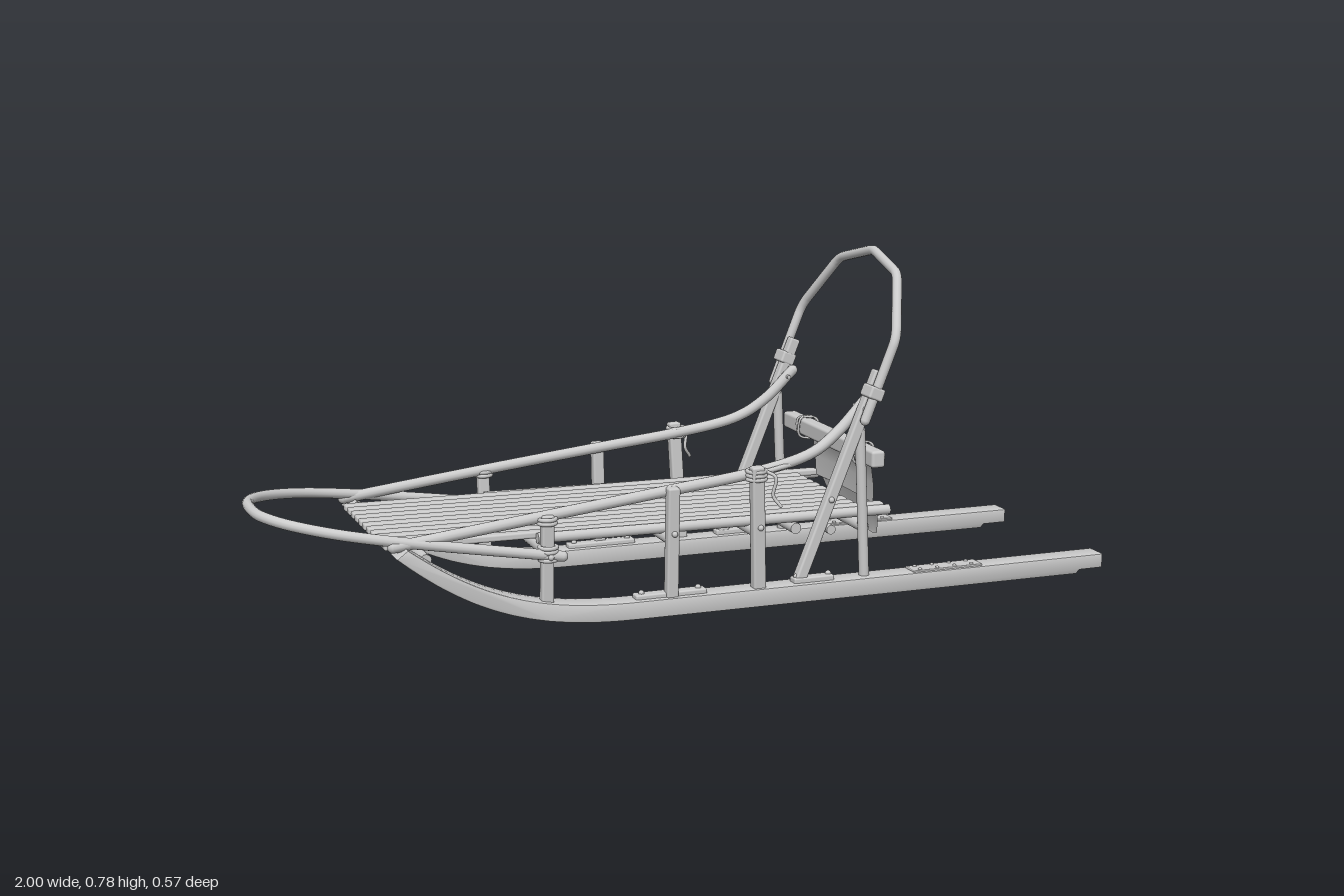
import * as THREE from 'three';
import { toCreasedNormals } from 'three/addons/utils/BufferGeometryUtils.js';
import { RoundedBoxGeometry } from 'three/addons/geometries/RoundedBoxGeometry.js';

const grey = new THREE.MeshStandardMaterial({ color: 0xcccccc });
const greyDouble = new THREE.MeshStandardMaterial({ color: 0xcccccc, side: THREE.DoubleSide });
const V = (x, y, z) => new THREE.Vector3(x, y, z);
const UP = V(0, 1, 0);

export function createModel() {
  const sled = new THREE.Group();
  sled.name = 'sled';

  const add = (name, geometry, material = grey) => {
    const mesh = new THREE.Mesh(geometry, material);
    mesh.name = name;
    sled.add(mesh);
    return mesh;
  };
  // Places a y-aligned geometry between two points
  const span = (mesh, a, b) => {
    mesh.position.copy(a).lerp(b, 0.5);
    mesh.quaternion.setFromUnitVectors(UP, b.clone().sub(a).normalize());
    return mesh;
  };
  const rod = (name, a, b, r, rTop = r) =>
    span(add(name, new THREE.CylinderGeometry(rTop, r, a.distanceTo(b), 16)), a, b);
  const beam = (name, a, b, w, d) =>
    span(add(name, new RoundedBoxGeometry(w, a.distanceTo(b), d, 2, 0.005)), a, b);
  const box = (name, w, h, d, x, y, z, r = 0.004) => {
    const m = add(name, new RoundedBoxGeometry(w, h, d, 2, r));
    m.position.set(x, y, z);
    return m;
  };
  const ball = (name, x, y, z, r) =>
    add(name, new THREE.SphereGeometry(r, 10, 8)).position.set(x, y, z);
  // Round bent bar with closed ends
  const bar = (name, pts, r, tension = 0.5, n = 80) => {
    const curve = new THREE.CatmullRomCurve3(pts, false, 'catmullrom', tension);
    add(name, new THREE.TubeGeometry(curve, n, r, 12, false));
    for (const p of [pts[0], pts[pts.length - 1]]) ball(name + 'End', p.x, p.y, p.z, r);
  };
  // Several turns of cord around a post
  const wrap = (name, x, y, z, r, turns = 3, dir = UP) => {
    for (let i = 0; i < turns; i++) {
      const m = add(name, new THREE.TorusGeometry(r, 0.005, 8, 20));
      m.position.set(x, y, z).addScaledVector(dir, (i - (turns - 1) / 2) * 0.009);
      m.quaternion.setFromUnitVectors(V(0, 0, 1), dir);
    }
  };

  // Runner side profile, upswept at the nose
  const runnerShape = new THREE.Shape();
  runnerShape.moveTo(1, 0.012);
  runnerShape.lineTo(0.94, 0.012);
  runnerShape.lineTo(0.93, 0.003);
  runnerShape.lineTo(-0.18, 0.01);
  runnerShape.bezierCurveTo(-0.42, 0.01, -0.56, 0.06, -0.725, 0.197);
  runnerShape.lineTo(-0.705, 0.212);
  runnerShape.bezierCurveTo(-0.55, 0.095, -0.42, 0.045, -0.18, 0.045);
  runnerShape.lineTo(1, 0.04);
  const runnerGeometry = toCreasedNormals(new THREE.ExtrudeGeometry(runnerShape, {
    depth: 0.052, bevelEnabled: true, bevelSize: 0.003, bevelThickness: 0.004,
    bevelSegments: 2, curveSegments: 24,
  }).translate(0, 0, -0.026), 0.6);

  for (const s of [-1, 1]) {
    add('runner', runnerGeometry).position.z = s * 0.236;

    // Foot pad with screws
    box('footPad', 0.18, 0.008, 0.045, 0.59, 0.045, s * 0.236, 0.002);
    for (let i = 0; i < 4; i++)
      for (const dz of [-0.014, 0.014])
        ball('footPadScrew', 0.52 + i * 0.045, 0.048, s * 0.236 + dz, 0.005);

    // Stanchion feet, bolted to the runner
    for (const [x, w] of [[-0.1, 0.17], [0.25, 0.1]]) {
      box('stanchionFoot', w, 0.016, 0.03, x, 0.05, s * 0.236);
      for (const dx of [-0.4, 0.4]) ball('footBolt', x + dx * w, 0.059, s * 0.236, 0.007);
    }

    // Stanchions lean slightly outward
    beam('frontStanchion', V(-0.39, 0.045, s * 0.238), V(-0.39, 0.262, s * 0.25), 0.028, 0.024);
    beam('middleStanchion', V(-0.1, 0.045, s * 0.245), V(-0.1, 0.3, s * 0.256), 0.028, 0.026);
    beam('rearStanchion', V(0.112, 0.04, s * 0.245), V(0.1, 0.332, s * 0.26), 0.03, 0.026);
    beam('handlePost', V(0.215, 0.045, s * 0.235), V(0.41, 0.525, s * 0.235), 0.026, 0.026);
    rod('uprightPost', V(0.382, 0.045, s * 0.235), V(0.366, 0.39, s * 0.235), 0.012);
    rod('uprightPostTip', V(0.366, 0.39, s * 0.235), V(0.365, 0.416, s * 0.235), 0.012, 0.004);

    // Upper side rail sweeping up and inward to the handle posts
    bar('sideRail', [V(-0.73, 0.218, s * 0.237), V(-0.4, 0.256, s * 0.24), V(-0.1, 0.289, s * 0.238),
      V(0.1, 0.311, s * 0.234), V(0.24, 0.338, s * 0.222), V(0.32, 0.383, s * 0.21),
      V(0.392, 0.452, s * 0.204)], 0.013);

    // Lower rail carrying the edge of the bed
    rod('bedRail', V(-0.4, 0.2, s * 0.207), V(0.46, 0.187, s * 0.2), 0.012);

    // Lashings and bolts
    wrap('frontLashing', -0.39, 0.177, s * 0.253, 0.019, 4);
    wrap('frontRailLashing', -0.39, 0.248, s * 0.247, 0.019, 2);
    wrap('rearLashing', 0.103, 0.31, s * 0.25, 0.021, 3);
    for (const [x, y, z] of [[-0.39, 0.172, 0.274], [-0.1, 0.195, 0.268], [0.108, 0.19, 0.266],
      [0.29, 0.235, 0.25], [0.372, 0.44, 0.245]]) ball('bolt', x, y, s * z, 0.007);
    rod('railBolt', V(0.375, 0.438, s * 0.185), V(0.375, 0.438, s * 0.25), 0.005);
    rod('bedBolt', V(0.29, 0.165, s * 0.19), V(0.29, 0.165, s * 0.25), 0.011);
    rod('lashedCord', V(0.1, 0.315, s * 0.265), V(0.19, 0.322, s * 0.235), 0.006);
    bar('cordEnd', [V(0.12, 0.32, s * 0.262), V(0.14, 0.305, s * 0.276), V(0.135, 0.265, s * 0.272),
      V(0.15, 0.24, s * 0.28)], 0.004, 0.5, 24);

    // Sleeve joining the handle to its post
    beam('handleSleeve', V(0.385, 0.464, s * 0.247), V(0.396, 0.491, s * 0.247), 0.036, 0.052);
  }

  // Slatted bed
  for (let i = -5; i <= 5; i++) {
    const z = i * 0.037;
    beam('bedSlat', V(-0.74, 0.208, z), V(Math.abs(i) === 5 ? 0.45 : 0.39, 0.196, z), 0.016, 0.026);
  }

  // Cross bars beneath the bed and between the runner noses
  for (const [x, y, half] of [[-0.71, 0.198, 0.235], [-0.655, 0.178, 0.22], [-0.39, 0.178, 0.25],
    [-0.1, 0.177, 0.25], [0.108, 0.174, 0.25], [0.22, 0.165, 0.21], [0.38, 0.16, 0.235]])
    rod('crossBar', V(x, y, -half), V(x, y, half), 0.013);

  // Front bow, swept back along both sides
  const half = [[-0.36, 0.264], [-0.55, 0.253], [-0.72, 0.235], [-0.84, 0.203], [-0.93, 0.145], [-0.978, 0.075]];
  const bowPoint = (x, z) => V(x, 0.272 + (x + 0.988) * -0.163, z);
  bar('frontBow', [...half.map(([x, z]) => bowPoint(x, z)), bowPoint(-0.988, 0),
    ...half.slice().reverse().map(([x, z]) => bowPoint(x, -z))], 0.012);

  // Handle arch, in a plane tilted back
  const arch = [[0.26, 0.416], [0.26, 0.585], [0.255, 0.605], [0.245, 0.622], [0.168, 0.717],
    [0.155, 0.729], [0.138, 0.737], [0.02, 0.765]];
  const archPoint = (z, y) => V(0.366 + (y - 0.416) * 0.4, y, z);
  bar('handle', [...arch.map(([z, y]) => archPoint(z, y)), archPoint(0, 0.768),
    ...arch.slice().reverse().map(([z, y]) => archPoint(-z, y))], 0.0115, 0.15, 160);

  // Rear beam with end bolts
  box('rearBeam', 0.034, 0.04, 0.505, 0.407, 0.32, 0, 0.007);
  for (const s of [-1, 1]) ball('beamBolt', 0.424, 0.32, s * 0.235, 0.007);

  // Hanging flap: a sheet that narrows and kicks back towards its lower edge
  const rows = [[0.418, 0.302, 0.162], [0.426, 0.288, 0.163], [0.432, 0.245, 0.163], [0.434, 0.197, 0.16],
    [0.448, 0.19, 0.152], [0.46, 0.15, 0.133], [0.468, 0.112, 0.114], [0.469, 0.105, 0.09]];
  const cols = 12;
  const flap = new THREE.PlaneGeometry(1, 1, cols, rows.length - 1);
  for (let i = 0; i < flap.attributes.position.count; i++) {
    const [x, y, w] = rows[Math.floor(i / (cols + 1))];
    const u = ((i % (cols + 1)) / cols) * 2 - 1;
    const sag = y > 0.28 ? 0.008 * (1 - u * u) : 0;
    flap.attributes.position.setXYZ(i, x + 0.006 * (1 - u * u), y - sag, 0.012 - u * w);
  }
  add('flap', toCreasedNormals(flap, 0.7), greyDouble);

  // Cord loops tying the flap to the rear beam
  for (const z of [0.165, -0.143]) {
    for (const dz of [-0.008, 0.006]) {
      const loop = [V(0.386, 0.3, z), V(0.385, 0.342, z + dz), V(0.41, 0.346, z - dz),
        V(0.43, 0.338, z + dz), V(0.432, 0.295, z), V(0.41, 0.292, z)];
      add('tieCord', new THREE.TubeGeometry(new THREE.CatmullRomCurve3(loop, true), 40, 0.003, 8, true));
    }
    const eyelet = add('eyelet', new THREE.TorusGeometry(0.006, 0.0025, 8, 16));
    eyelet.position.set(0.43, 0.292, z);
    eyelet.rotation.y = Math.PI / 2;
  }

  return sled;
}
